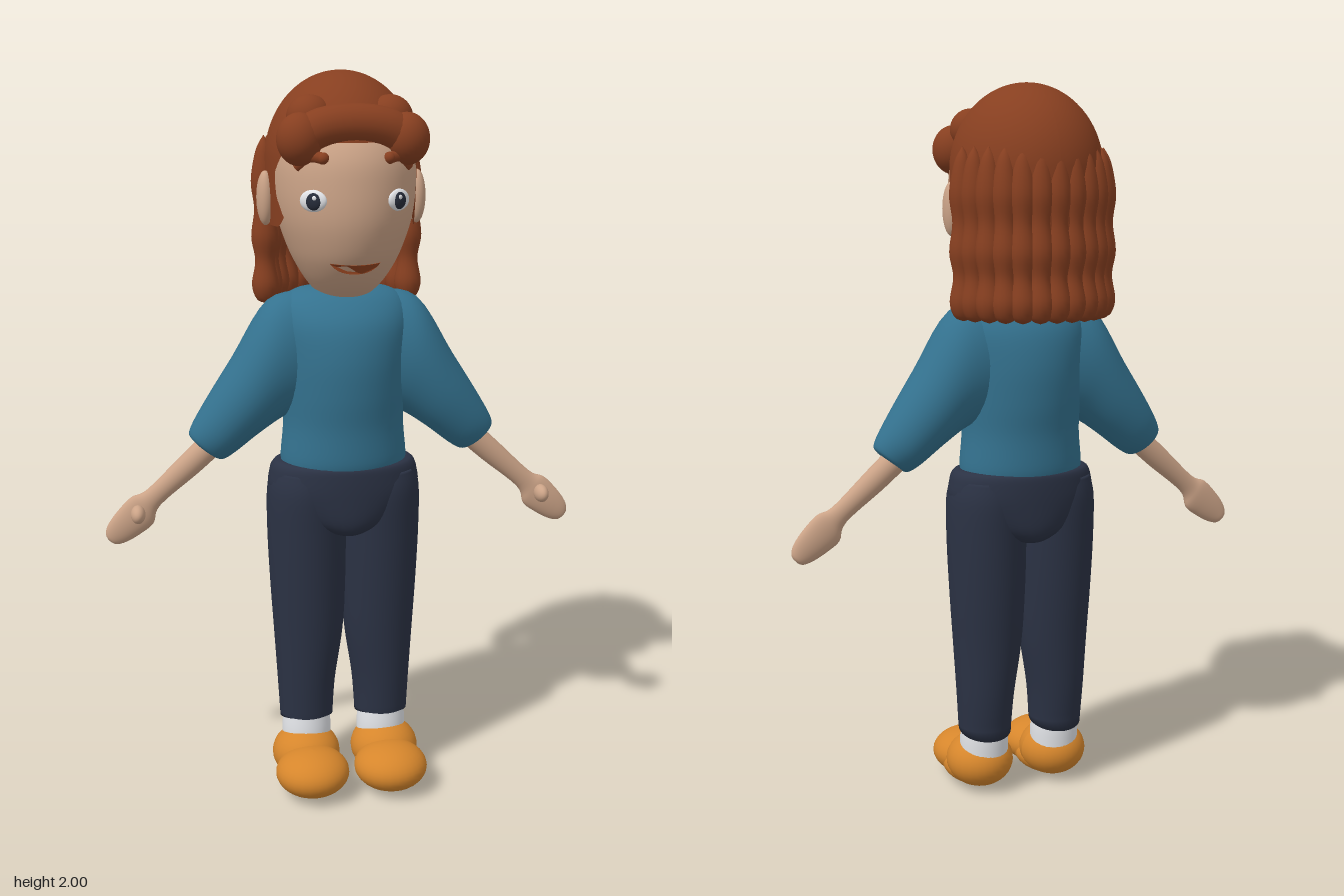
import * as THREE from 'three';

const mat = (name, color, side = THREE.FrontSide) => {
  const m = new THREE.MeshStandardMaterial({ color, side });
  m.name = name;
  return m;
};

// Closed smooth loft. Each row: [ax, ay, bx, by, zFront, zBack], an ellipse spanning a to b.
function loft(rows, seg = 36, sub = 5) {
  const steps = (rows.length - 1) * sub, pos = [], idx = [];
  const at = (k, t) => {
    const i = Math.min(Math.floor(t), rows.length - 2), f = t - i;
    const p = j => rows[Math.max(0, Math.min(rows.length - 1, j))][k];
    const m1 = (p(i + 1) - p(i - 1)) / 2, m2 = (p(i + 2) - p(i)) / 2, d = p(i + 1) - p(i);
    return p(i) + f * (m1 + f * (3 * d - 2 * m1 - m2 + f * (m1 + m2 - 2 * d)));
  };
  for (let s = 0; s <= steps; s++) {
    const [ax, ay, bx, by, zf, zb] = [0, 1, 2, 3, 4, 5].map(k => at(k, s / sub));
    for (let j = 0; j < seg; j++) {
      const a = j / seg * Math.PI * 2, c = Math.cos(a) / 2;
      pos.push((ax + bx) / 2 + (bx - ax) * c, (ay + by) / 2 + (by - ay) * c,
        (zf + zb) / 2 + (zf - zb) / 2 * Math.sin(a));
    }
  }
  for (const r of [rows[0], rows[rows.length - 1]])
    pos.push((r[0] + r[2]) / 2, (r[1] + r[3]) / 2, (r[4] + r[5]) / 2);
  const c0 = (steps + 1) * seg;
  for (let j = 0; j < seg; j++) {
    const k = (j + 1) % seg, top = steps * seg;
    for (let s = 0; s < steps; s++) {
      const a = s * seg + j, c = s * seg + k;
      idx.push(a, a + seg, c, a + seg, c + seg, c);
    }
    idx.push(c0, j, k, c0 + 1, top + k, top + j);
  }
  const g = new THREE.BufferGeometry();
  g.setAttribute('position', new THREE.Float32BufferAttribute(pos, 3));
  g.setIndex(idx);
  g.computeVertexNormals();
  return g;
}
// Upright loft from rows [y, x0, x1, zFront, zBack]
const stack = rows => loft(rows.map(([y, x0, x1, f, b]) => [x0, y, x1, y, f, b]));
// Upright symmetric loft from rows [y, halfWidth, zFront, zBack]
const body = rows => stack(rows.map(([y, r, f, b]) => [y, -r, r, f, b]));

const ball = (x, y, z, rx, ry = rx, rz = rx) =>
  new THREE.SphereGeometry(1, 28, 20).scale(rx, ry, rz).translate(x, y, z);

function mirrored(geo) {
  const g = geo.clone().scale(-1, 1, 1), i = g.index.array;
  for (let k = 0; k < i.length; k += 3) [i[k], i[k + 1]] = [i[k + 1], i[k]];
  g.computeVertexNormals();
  return g;
}

const HEAD = [
  [1.395, 0.02, 0.06, -0.0], [1.41, 0.06, 0.1, -0.04], [1.45, 0.1, 0.16, -0.08], [1.5, 0.132, 0.205, -0.12],
  [1.55, 0.155, 0.232, -0.15], [1.62, 0.178, 0.25, -0.17], [1.7, 0.19, 0.25, -0.18], [1.78, 0.188, 0.236, -0.18],
  [1.85, 0.165, 0.19, -0.16], [1.91, 0.11, 0.11, -0.11], [1.94, 0.03, 0.02, -0.04]];

// Depth of the face surface at x, y
function faceZ(x, y) {
  let i = 0;
  while (i < HEAD.length - 2 && HEAD[i + 1][0] < y) i++;
  const t = (y - HEAD[i][0]) / (HEAD[i + 1][0] - HEAD[i][0]);
  const [r, f, b] = [1, 2, 3].map(k => THREE.MathUtils.lerp(HEAD[i][k], HEAD[i + 1][k], t));
  return (f + b) / 2 + (f - b) / 2 * Math.sqrt(Math.max(0, 1 - (x / r) ** 2));
}

// Hair shell with a rim that rises over the face
function hairCap() {
  const g = new THREE.PlaneGeometry(1, 1, 96, 32), p = g.attributes.position, C = 1.77;
  for (let i = 0; i < p.count; i++) {
    const az = (p.getX(i) + 0.5) * Math.PI * 2 - Math.PI, v = 0.5 - p.getY(i), a = Math.abs(az);
    const rim = 1.82 - 0.22 * THREE.MathUtils.smoothstep(a, 0.45, 1.2) - 0.14 * THREE.MathUtils.smoothstep(a, 1.7, 2);
    const low = rim < C ? Math.PI / 2 + (C - rim) : Math.acos((rim - C) / 0.23);
    const ang = v * low, under = Math.max(0, ang - Math.PI / 2);
    const y = under ? C - under : C + 0.23 * Math.cos(ang);
    const r = under ? 1 - 0.9 * under * under : Math.sin(ang);
    p.setXYZ(i, 0.202 * r * Math.sin(az), y, -0.015 + 0.235 * r * Math.cos(az));
  }
  g.computeVertexNormals();
  return g;
}

export function createModel() {
  const model = new THREE.Group();
  const skin = mat('skin', 0xcba387), hair = mat('hair', 0x873f20, THREE.DoubleSide);
  const knit = mat('sweater', 0x34728f), denim = mat('trousers', 0x2b3244);
  const leather = mat('shoes', 0xd6862c), white = mat('white', 0xe4e6ea);
  const dark = mat('pupil', 0x262c3a), lip = mat('lips', 0x93431f);

  const add = (name, geo, material, parent = model) => {
    const m = new THREE.Mesh(geo, material);
    m.name = name;
    parent.add(m);
    return m;
  };
  const both = (name, geo, material) => {
    add(name + 'Left', geo, material);
    add(name + 'Right', mirrored(geo), material);
  };

  // Head, neck and ears
  add('head', body(HEAD), skin);
  add('neck', new THREE.CylinderGeometry(0.065, 0.075, 0.14, 28).translate(0, 1.44, 0.01), skin);
  both('ear', ball(0.206, 1.67, 0.003, 0.024, 0.072, 0.032), skin);

  // Eyes and brows
  for (const s of [1, -1]) {
    const eye = new THREE.Group();
    eye.name = s > 0 ? 'eyeLeft' : 'eyeRight';
    eye.position.set(s * 0.11, 1.677, faceZ(0.11, 1.677));
    eye.rotation.y = s * 0.62;
    add('eyeWhite', ball(0, 0, 0, 0.038, 0.028, 0.014), white, eye);
    add('pupil', ball(-s * 0.004, -0.001, 0.007, 0.022, 0.022, 0.011), dark, eye);
    add('eyeGlint', ball(-s * 0.01, 0.008, 0.016, 0.006, 0.006, 0.003), white, eye);
    model.add(eye);
  }
  const browCurve = new THREE.CatmullRomCurve3([[0.085, 1.782], [0.115, 1.785], [0.145, 1.76]]
    .map(([x, y]) => new THREE.Vector3(x, y, faceZ(x, y))));
  both('brow', new THREE.TubeGeometry(browCurve, 12, 0.015, 10), hair);
  both('browTip', ball(0.085, 1.782, faceZ(0.085, 1.782), 0.0155), hair);

  // Smiling mouth, laid onto the face
  const smile = new THREE.Shape();
  smile.moveTo(-0.066, 1.516);
  smile.quadraticCurveTo(0, 1.508, 0.066, 1.516);
  smile.quadraticCurveTo(0.045, 1.487, 0, 1.487);
  smile.quadraticCurveTo(-0.045, 1.487, -0.066, 1.516);
  const mouth = new THREE.ExtrudeGeometry(smile, { depth: 0.009, bevelEnabled: false, curveSegments: 14 });
  const mp = mouth.attributes.position;
  for (let i = 0; i < mp.count; i++) mp.setZ(i, mp.getZ(i) - 0.002 + faceZ(mp.getX(i), mp.getY(i)));
  mouth.computeVertexNormals();
  add('mouth', mouth, lip);

  // Hair: cap, rolled fringe and wavy strands
  add('hairCap', hairCap(), hair);
  const fringe = new THREE.CatmullRomCurve3([[-0.14, 1.825, 0.165], [-0.08, 1.855, 0.175], [0, 1.865, 0.178],
    [0.08, 1.855, 0.175], [0.14, 1.825, 0.165]].map(p => new THREE.Vector3(...p)));
  add('fringe', new THREE.TubeGeometry(fringe, 32, 0.052, 16), hair);
  both('fringeCurl', ball(0.138, 1.828, 0.172, 0.06, 0.067, 0.061), hair);
  both('fringeTop', ball(0.105, 1.88, 0.12, 0.06, 0.058, 0.06), hair);
  const wave = new THREE.SplineCurve([[0.001, 1.378], [0.025, 1.39], [0.037, 1.43], [0.027, 1.495], [0.037, 1.56],
    [0.028, 1.635], [0.036, 1.71], [0.022, 1.79], [0.001, 1.83]].map(p => new THREE.Vector2(...p)));
  const strand = new THREE.LatheGeometry(wave.getPoints(40), 14);
  for (let i = 0; i < 13; i++) {
    const a = THREE.MathUtils.degToRad(105 + i * 12.5);
    add('hairStrand', strand, hair).position.set(0.207 * Math.sin(a), 0, -0.012 + 0.216 * Math.cos(a));
  }

  // Sweater body and sleeves
  add('sweaterBody', body([[0.935, 0.172, 0.162, -0.112], [0.97, 0.175, 0.171, -0.119], [1.06, 0.167, 0.174, -0.122],
    [1.15, 0.17, 0.184, -0.134], [1.25, 0.177, 0.186, -0.138], [1.34, 0.185, 0.168, -0.123],
    [1.4, 0.168, 0.125, -0.088], [1.43, 0.12, 0.078, -0.055], [1.437, 0.04, 0.03, -0.01]]), knit);
  both('sleeve', loft([[0.09, 1.425, 0.1, 1.1, 0.11, -0.08], [0.205, 1.4, 0.165, 1.08, 0.128, -0.088],
    [0.305, 1.245, 0.235, 1.035, 0.122, -0.08], [0.385, 1.12, 0.3, 0.985, 0.1, -0.06],
    [0.424, 1.05, 0.332, 0.966, 0.078, -0.035], [0.42, 1.025, 0.35, 0.968, 0.06, -0.02],
    [0.395, 1.005, 0.37, 0.982, 0.035, 0.0]]), knit);

  // Forearms and hands
  both('forearm', loft([[0.38, 1.04, 0.33, 0.99, 0.05, -0.02], [0.45, 0.975, 0.405, 0.925, 0.046, -0.014],
    [0.545, 0.885, 0.51, 0.84, 0.04, -0.002], [0.59, 0.865, 0.53, 0.79, 0.042, -0.004],
    [0.63, 0.825, 0.56, 0.765, 0.042, -0.002], [0.655, 0.79, 0.6, 0.742, 0.038, 0.002],
    [0.662, 0.765, 0.63, 0.733, 0.032, 0.006], [0.657, 0.75, 0.645, 0.738, 0.024, 0.014]]), skin);
  both('thumb', ball(0.573, 0.825, 0.052, 0.02, 0.025, 0.034), skin);

  // Trousers
  add('hips', body([[0.752, 0.04, 0.12, -0.07], [0.765, 0.08, 0.152, -0.1], [0.8, 0.15, 0.169, -0.116],
    [0.87, 0.208, 0.173, -0.121], [0.925, 0.207, 0.172, -0.121], [0.95, 0.196, 0.168, -0.117],
    [0.957, 0.18, 0.155, -0.105]]), denim);
  const leg = stack([[0.188, 0.034, 0.185, 0.108, -0.045], [0.3, 0.026, 0.191, 0.116, -0.06],
    [0.45, 0.004, 0.2, 0.127, -0.072], [0.6, -0.005, 0.209, 0.137, -0.085], [0.75, -0.008, 0.215, 0.146, -0.095],
    [0.87, -0.005, 0.214, 0.152, -0.1], [0.93, 0.01, 0.2, 0.14, -0.09]]);
  const lp = leg.attributes.position;
  for (let i = 0; i < lp.count; i++)
    if (lp.getY(i) < 0.2) lp.setY(i, lp.getY(i) + (lp.getZ(i) - 0.03) * 0.22);
  leg.computeVertexNormals();
  both('trouserLeg', leg, denim);

  // Socks and shoes
  both('sock', stack([[0.1, 0.04, 0.18, 0.105, -0.03], [0.16, 0.04, 0.18, 0.104, -0.032],
    [0.21, 0.045, 0.175, 0.098, -0.03]]), white);
  both('shoeHeel', ball(0.115, 0.086, 0.06, 0.097, 0.079, 0.1), leather);
  both('shoeToe', ball(0.113, 0.072, 0.166, 0.104, 0.066, 0.104), leather);
  both('shoeSole', ball(0.114, 0.055, 0.11, 0.092, 0.055, 0.12), leather);

  return model;
}
